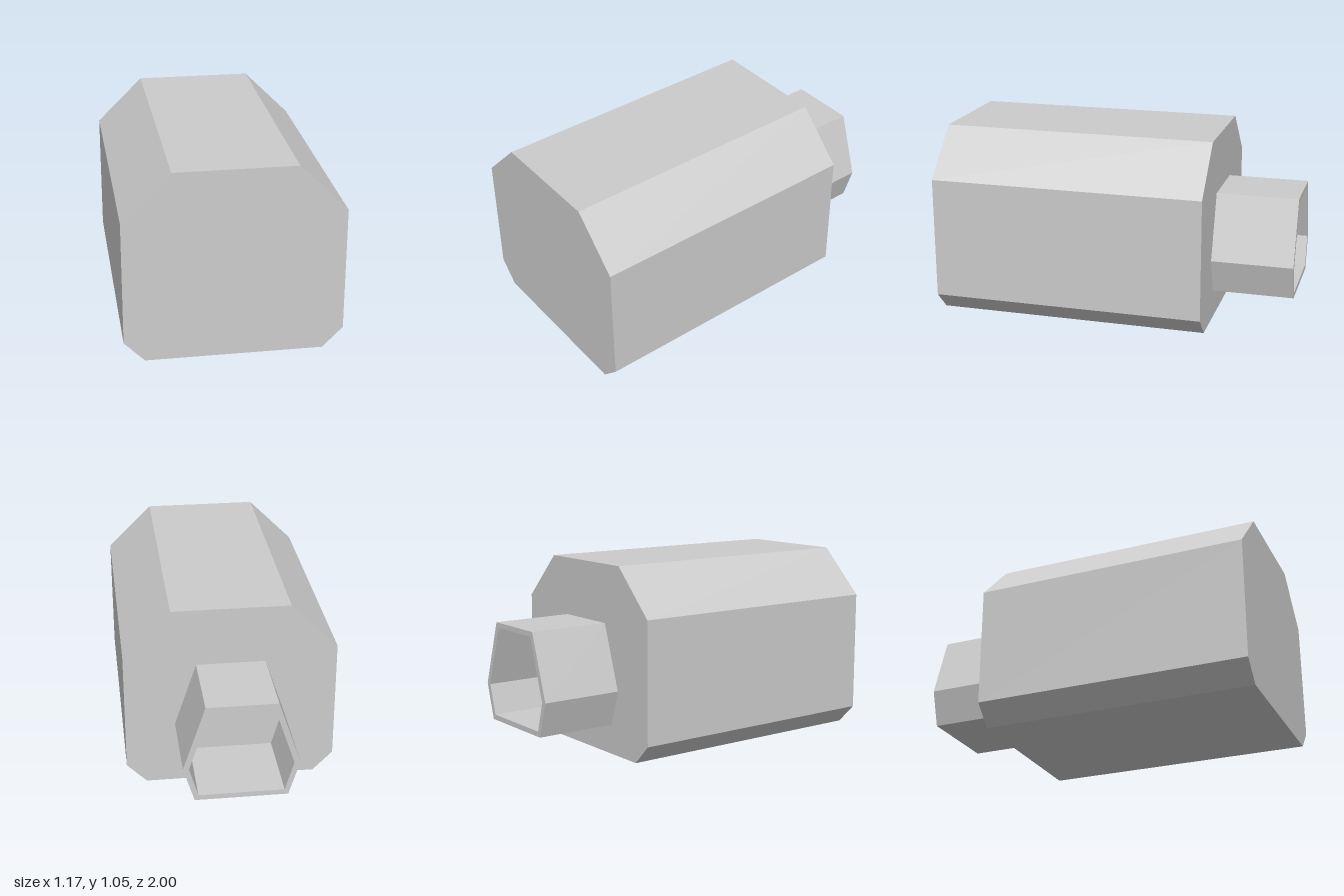
import * as THREE from 'three';

const material = new THREE.MeshStandardMaterial({ color: 0xcccccc, flatShading: true });

// Mirrors a right-hand outline (bottom to top) into a closed symmetric polygon.
function mirrored(half) {
  const left = half.map(([x, y]) => [-x, y]).reverse();
  return [...half, ...left].map(([x, y]) => new THREE.Vector2(x, y));
}

// Extrudes an outline between two depths, optionally with a hole.
function prism(name, outline, zBack, zFront, hole) {
  const shape = new THREE.Shape(mirrored(outline));
  if (hole) shape.holes.push(new THREE.Path(mirrored(hole)));
  const geometry = new THREE.ExtrudeGeometry(shape, { depth: zFront - zBack, bevelEnabled: false });
  geometry.translate(0, 0, zBack);
  const mesh = new THREE.Mesh(geometry, material);
  mesh.name = name;
  return mesh;
}

export function createModel() {
  const model = new THREE.Group();
  model.name = 'housingWithNozzle';

  // Chamfered main block
  const bodyOutline = [[0.475, 0], [0.585, 0.112], [0.585, 0.795], [0.325, 1.053]];
  model.add(prism('body', bodyOutline, -0.54, 1, null));

  // Hollow six-sided nozzle on the back
  const outer = [[0.25, 0.168], [0.31, 0.365], [0.19, 0.727]];
  const inner = [[0.23, 0.197], [0.278, 0.363], [0.168, 0.698]];
  model.add(prism('nozzle', outer, -1, -0.54, inner));

  return model;
}
